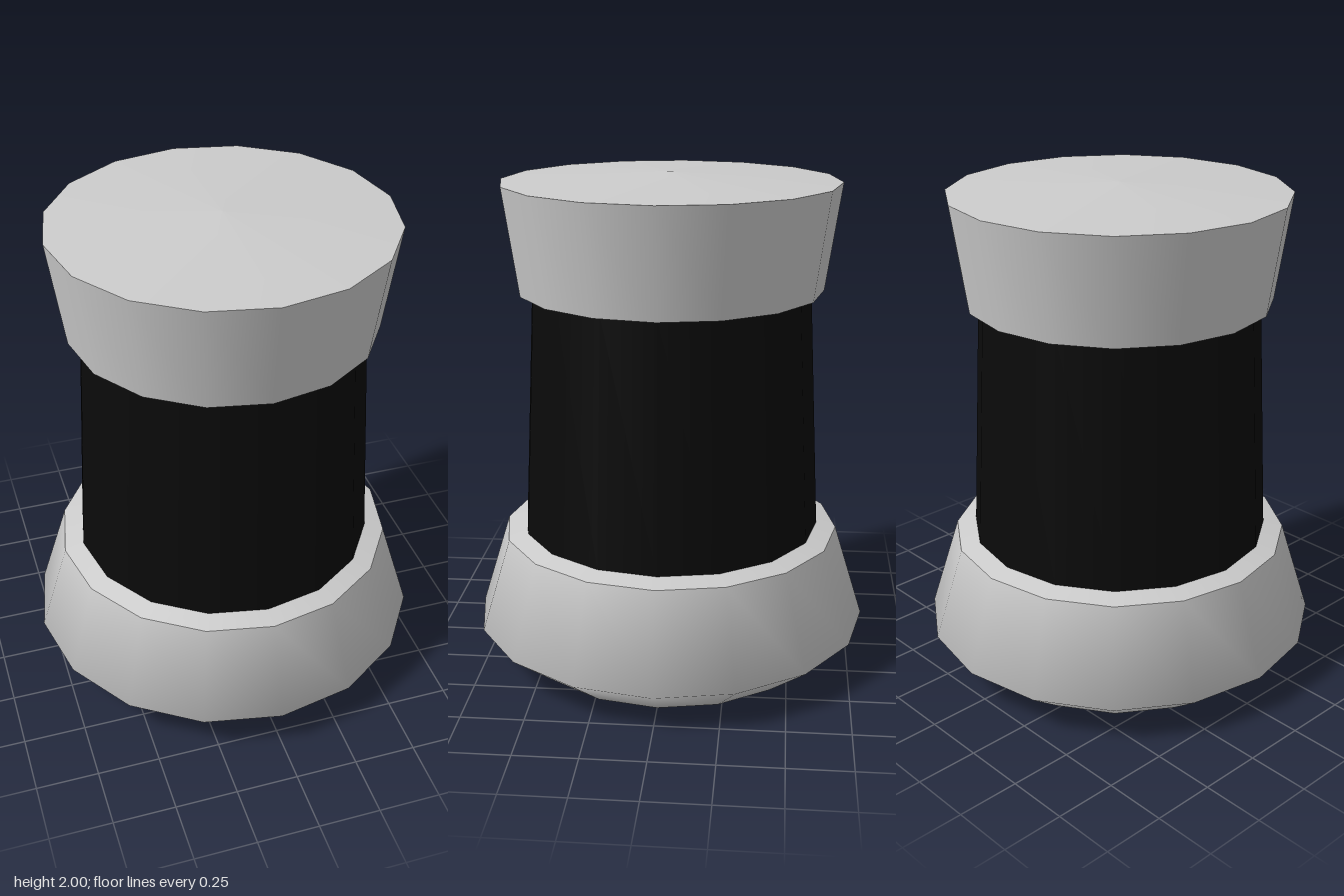
import * as THREE from 'three';
import { mergeGeometries } from 'three/addons/utils/BufferGeometryUtils.js';

const SIDES = 16;

// Each run of [radius, y] points is smooth within itself; edges between runs stay sharp.
function turned(name, material, runs) {
  const parts = runs.map((run) =>
    new THREE.LatheGeometry(run.map(([r, y]) => new THREE.Vector2(r, y)), SIDES));
  const mesh = new THREE.Mesh(mergeGeometries(parts), material);
  mesh.name = name;
  return mesh;
}

export function createModel() {
  const grey = new THREE.MeshStandardMaterial({ color: 0xcccccc });
  const black = new THREE.MeshStandardMaterial({ color: 0x0a0a0a });
  const model = new THREE.Group();
  model.name = 'turnedPost';

  // Flared foot: flat underside, rounded flank, shallow shoulder
  model.add(turned('base', grey, [
    [[0, 0], [0.615, 0]],
    [[0.615, 0], [0.81, 0.15], [0.69, 0.535]],
    [[0.69, 0.535], [0.61, 0.555]],
  ]));

  // Tapered dark grip
  model.add(turned('grip', black, [
    [[0.61, 0.555], [0.56, 1.54]],
  ]));

  // Widening head: underside ring, wall, slightly domed top
  model.add(turned('head', grey, [
    [[0.56, 1.54], [0.61, 1.54]],
    [[0.61, 1.54], [0.672, 1.965]],
    [[0.672, 1.965], [0, 2]],
  ]));

  return model;
}
